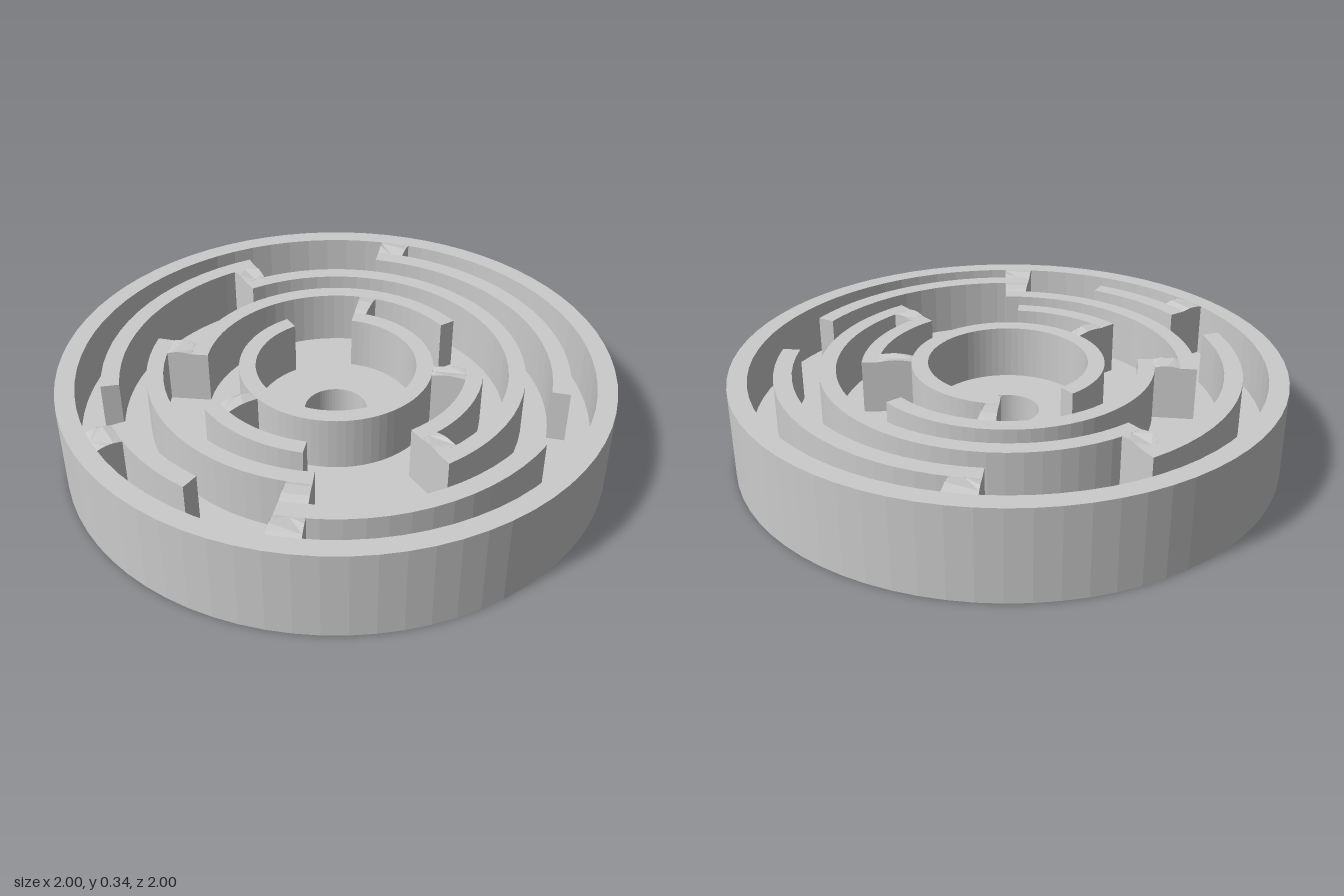
import * as THREE from 'three';

const TOP = 0.335, FLOOR = 0.135, DOME = 0.007;
const SEGMENTS = 72;

// Concentric walls, from the centre outwards: [inner radius, outer radius]
const RINGS = [[0.29, 0.35], [0.47, 0.53], [0.62, 0.68], [0.775, 0.84], [0.93, 1]];

// Arcs in degrees, counter-clockwise seen from above: [ring, start, end]
const ARCS = [
  [0, 90, 406],
  [1, 0, 142], [1, 180, 226], [1, 270, 323],
  [2, 134, 231.5], [2, 270, 450],
  [3, 83, 158], [3, 174, 203], [3, 224.5, 293], [3, 314, 405.5],
];

// Radial walls that join a ring to the next one: [ring, start, end]
const SPOKES = [
  [0, 38.5, 46], [0, 179.5, 187], [0, 314.5, 323],
  [1, 134, 142], [1, 270, 277],
  [2, 83, 90], [2, 224.5, 231.5],
  [3, 38.5, 45.5], [3, 174, 181], [3, 224.5, 231.5],
];

// Upright wall over a sector of a ring, with radial points along its ends
function sectorWall(r0, r1, startDeg, endDeg, radialSteps = 1) {
  const a0 = THREE.MathUtils.degToRad(startDeg);
  const a1 = THREE.MathUtils.degToRad(endDeg);
  const n = Math.max(2, Math.ceil((endDeg - startDeg) / (360 / SEGMENTS)));
  const points = [];
  const add = (r, a) => points.push(new THREE.Vector2(r * Math.cos(a), r * Math.sin(a)));
  const lerp = THREE.MathUtils.lerp;
  for (let i = 0; i <= n; i++) add(r1, lerp(a0, a1, i / n));
  for (let i = 1; i < radialSteps; i++) add(lerp(r1, r0, i / radialSteps), a1);
  for (let i = 0; i <= n; i++) add(r0, lerp(a1, a0, i / n));
  for (let i = 1; i < radialSteps; i++) add(lerp(r0, r1, i / radialSteps), a0);
  const geometry = new THREE.ExtrudeGeometry(new THREE.Shape(points), {
    depth: TOP - FLOOR, bevelEnabled: false,
  });
  return geometry.rotateX(-Math.PI / 2).translate(0, FLOOR, 0);
}

// Raise the top of a radial wall in a shallow dome between its two rings
function domeTop(geometry, r0, r1) {
  const p = geometry.attributes.position;
  for (let i = 0; i < p.count; i++) {
    if (p.getY(i) < TOP - 0.01) continue;
    const t = THREE.MathUtils.clamp((Math.hypot(p.getX(i), p.getZ(i)) - r0) / (r1 - r0), 0, 1);
    p.setY(i, TOP + DOME * Math.sin(Math.PI * t));
  }
  geometry.computeVertexNormals();
  return geometry;
}

export function createModel() {
  const group = new THREE.Group();
  group.name = 'roundMaze';
  const material = new THREE.MeshStandardMaterial({ color: 0xcccccc, flatShading: true });
  const addMesh = (name, geometry) => {
    const mesh = new THREE.Mesh(geometry, material);
    mesh.name = name;
    group.add(mesh);
  };

  // Tray: floor with a centre hole, and the outer rim
  const profile = [
    [0.115, 0], [1, 0], [1, TOP], [0.93, TOP], [0.93, FLOOR], [0.115, FLOOR], [0.115, 0],
  ].map(([r, y]) => new THREE.Vector2(r, y));
  addMesh('tray', new THREE.LatheGeometry(profile, SEGMENTS));

  // Curved maze walls
  ARCS.forEach(([ring, start, end], i) => {
    addMesh(`curvedWall${i + 1}`, sectorWall(...RINGS[ring], start, end));
  });

  // Radial maze walls
  SPOKES.forEach(([ring, start, end], i) => {
    const r0 = RINGS[ring][1], r1 = RINGS[ring + 1][0];
    addMesh(`radialWall${i + 1}`, domeTop(sectorWall(r0, r1, start, end, 6), r0, r1));
  });

  return group;
}
